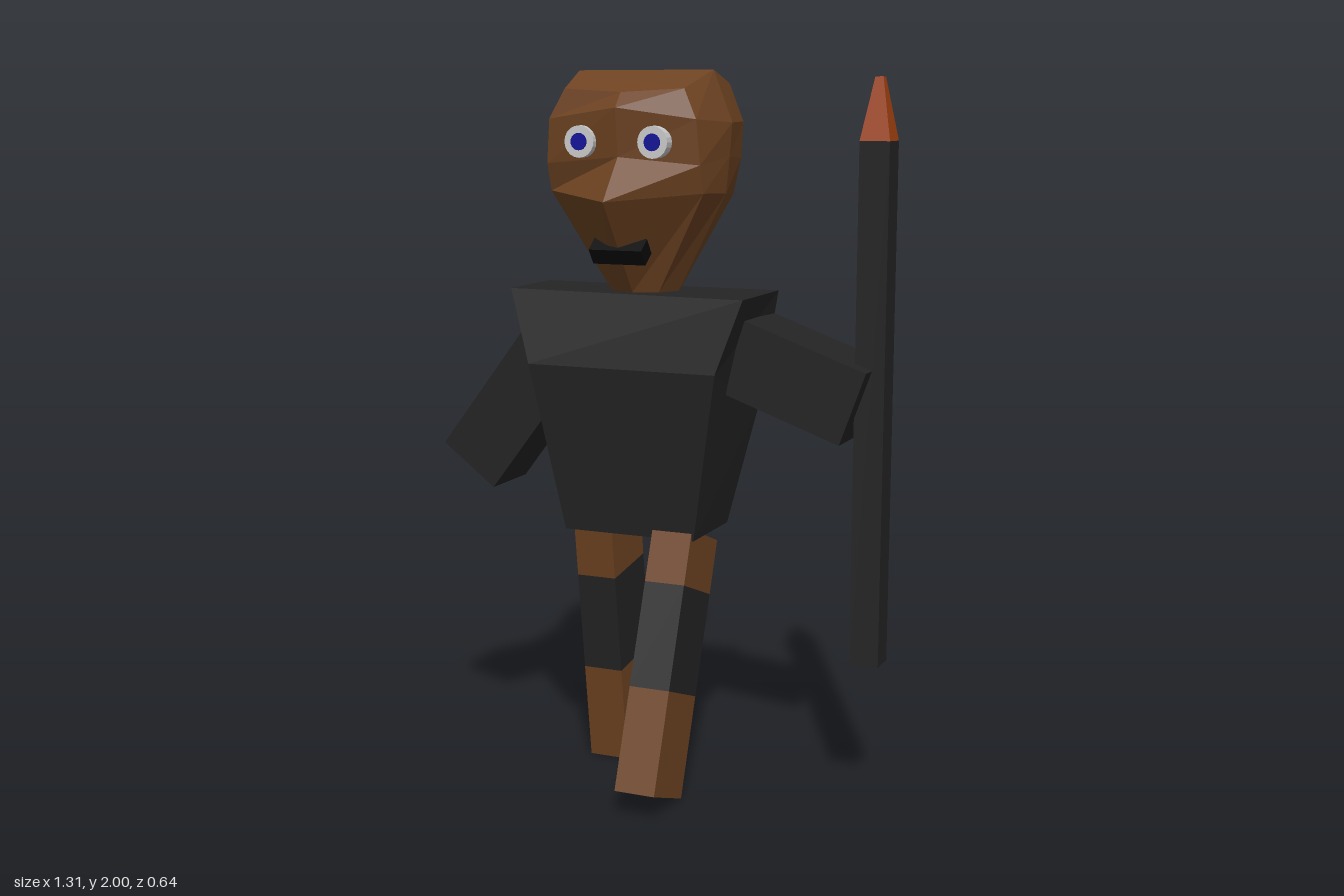
import * as THREE from 'three';

const mat = (color) => new THREE.MeshStandardMaterial({ color, flatShading: true });

// Skin over stacked rings (bottom to top, counter-clockwise seen from above), capped at both ends
function loft(rings) {
  const pos = [];
  const tri = (...pts) => pts.forEach((p) => pos.push(...p));
  const n = rings[0].length;
  for (let i = 0; i < rings.length - 1; i++) {
    for (let j = 0; j < n; j++) {
      const k = (j + 1) % n;
      const a = rings[i][j], b = rings[i][k], c = rings[i + 1][k], d = rings[i + 1][j];
      tri(a, b, c);
      tri(a, c, d);
    }
  }
  const low = rings[0], top = rings[rings.length - 1];
  for (let j = 0; j < n - 2; j++) {
    tri(top[n - 1], top[j], top[j + 1]);
    tri(low[n - 1], low[j + 1], low[j]);
  }
  const g = new THREE.BufferGeometry();
  g.setAttribute('position', new THREE.Float32BufferAttribute(pos, 3));
  g.computeVertexNormals();
  return g;
}

export function createModel() {
  const model = new THREE.Group();
  model.name = 'figure';
  const skin = mat(0x6e4322), cloth = mat(0x242424), black = mat(0x0a0a0a);
  const white = mat(0xc4c4c4), blue = mat(0x10109a), ember = mat(0xa03f10);

  function add(parent, name, geometry, material, x = 0, y = 0, z = 0) {
    const m = new THREE.Mesh(geometry, material);
    m.name = name;
    m.position.set(x, y, z);
    parent.add(m);
    return m;
  }

  // Torso: tapered shirt, bulging at chest and back
  add(model, 'torso', loft([
    [[-0.24, 0.725, 0.06], [0.15, 0.725, 0.06], [0.15, 0.725, -0.195], [-0.24, 0.725, -0.195]],
    [[-0.32, 1.2, 0.125], [0.235, 1.2, 0.125], [0.225, 1.06, -0.24], [-0.31, 1.06, -0.24]],
    [[-0.41, 1.4, 0.05], [0.3, 1.4, 0.09], [0.3, 1.4, -0.19], [-0.41, 1.4, -0.19]],
  ]), cloth);

  // Arms: boxes from the shoulder (x0, y0) to the wrist (x1, y1)
  function arm(name, x0, y0, x1, y1, thick, depth, z) {
    const len = Math.hypot(x1 - x0, y1 - y0);
    const m = add(model, name, new THREE.BoxGeometry(len, thick, depth), cloth,
      (x0 + x1) / 2, (y0 + y1) / 2, z);
    m.rotation.z = Math.atan2(y1 - y0, x1 - x0);
  }
  arm('rightArm', -0.28, 1.265, -0.578, 0.873, 0.2, 0.2, -0.09);
  arm('leftArm', 0.21, 1.25, 0.585, 1.115, 0.21, 0.22, -0.09);

  // Legs: three banded boxes, each leg swung in the stride
  function leg(name, x, y, z, swing) {
    const g = new THREE.Group();
    g.name = name;
    g.position.set(x, y, z);
    g.rotation.x = swing;
    const bands = [['foot', 0, 0.285, skin], ['wrap', 0.285, 0.575, cloth], ['thigh', 0.575, 0.73, skin]];
    for (const [part, a, b, m] of bands) {
      add(g, part, new THREE.BoxGeometry(0.117, b - a, 0.202), m, 0, (a + b) / 2, 0);
    }
    model.add(g);
  }
  leg('leftLeg', 0.087, 0.04, 0.225, -0.365);
  leg('rightLeg', -0.18, 0.018, -0.195, 0.143);

  // Head: eight-point rings with a pointed nose, a brow and a rounded back
  const head = new THREE.Group();
  head.name = 'head';
  head.position.x = -0.05;
  model.add(head);
  // front middle y, z | front corner x, y, z | side x, y | back corner x, y, z | back middle z
  const rows = [
    [1.40, 0.02, 0.07, 1.40, 0.0, 0.1, 1.40, 0.07, 1.40, -0.16, -0.18],
    [1.655, 0.21, 0.225, 1.675, 0.06, 0.238, 1.67, 0.19, 1.66, -0.25, -0.305],
    [1.77, 0.115, 0.225, 1.75, 0.085, 0.248, 1.77, 0.207, 1.76, -0.265, -0.312],
    [1.9, 0.13, 0.215, 1.87, 0.09, 0.255, 1.86, 0.21, 1.86, -0.272, -0.317],
    [1.94, 0.095, 0.175, 1.95, 0.075, 0.2, 2.0, 0.18, 1.965, -0.24, -0.265],
  ];
  add(head, 'skull', loft(rows.map(([fy, fz, cx, cy, cz, sx, sy, bx, by, bz, mz]) => [
    [-cx, cy, cz], [0, fy, fz], [cx, cy, cz], [sx, sy, -0.07],
    [bx, by, bz], [0, by, mz], [-bx, by, bz], [-sx, sy, -0.07],
  ])), skin);

  // Eyes: short discs with a pupil
  for (const side of [-1, 1]) {
    const x = side * 0.107;
    const disc = (r, len) => new THREE.CylinderGeometry(r, r, len, 20).rotateX(Math.PI / 2);
    add(head, 'eye', disc(0.043, 0.06), white, x, 1.81, 0.1);
    add(head, 'pupil', disc(0.023, 0.06), blue, x, 1.81, 0.104);
  }

  // Mouth: dark slab lying on the sloping chin
  const mouth = add(head, 'mouth', new THREE.BoxGeometry(0.155, 0.05, 0.05), black, -0.005, 1.517, 0.09);
  mouth.rotation.x = 0.64;

  // Staff with a tapered tip, held at the left hand
  const square = (top, bottom, h) =>
    new THREE.CylinderGeometry(top * Math.SQRT1_2, bottom * Math.SQRT1_2, h, 4).rotateY(Math.PI / 4);
  add(model, 'staff', square(0.082, 0.082, 1.415), cloth, 0.614, 1.1075, -0.075);
  add(model, 'staffTip', square(0.022, 0.082, 0.165), ember, 0.614, 1.8975, -0.075);

  return model;
}
